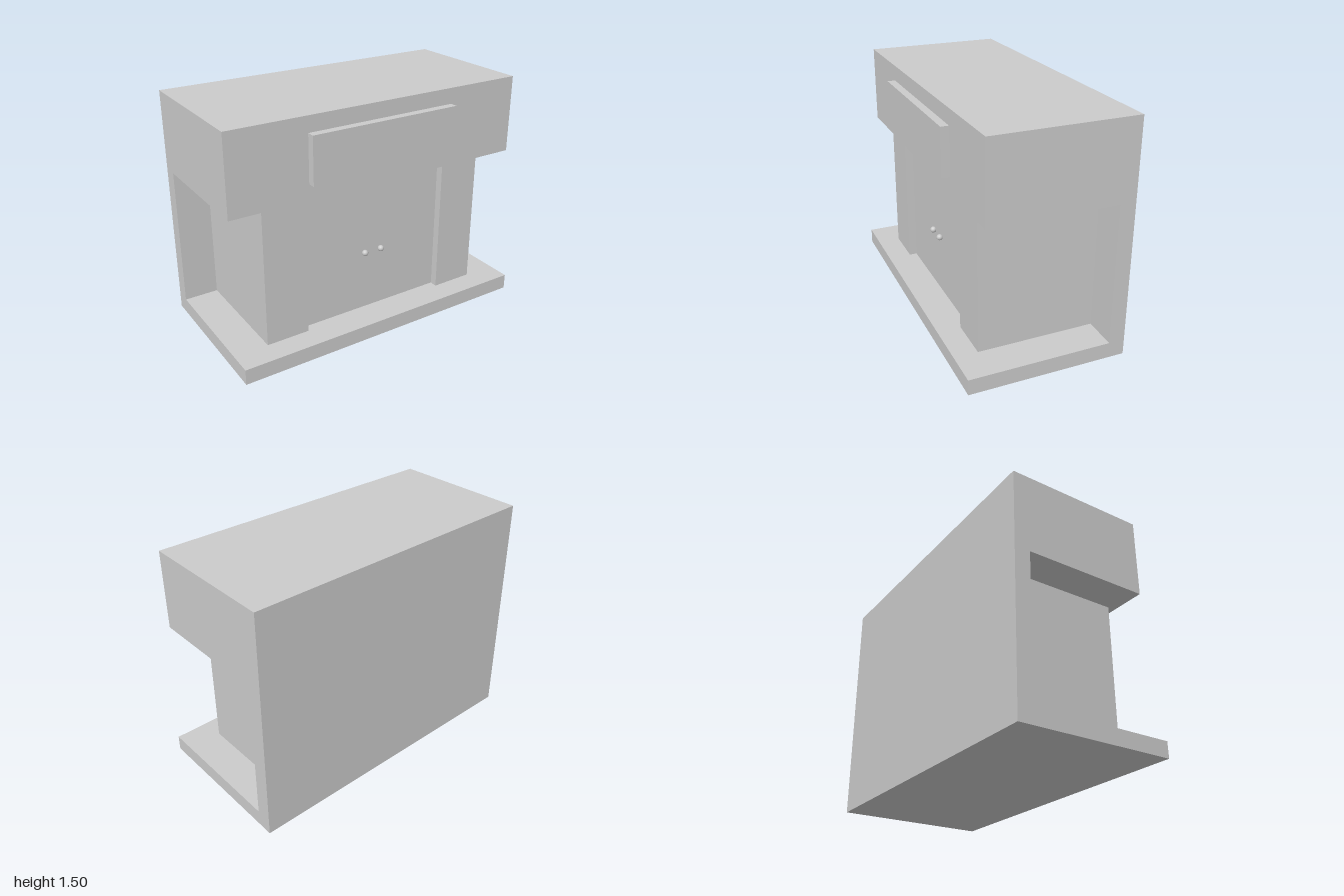
import * as THREE from 'three';

export function createModel() {
  const model = new THREE.Group();
  const material = new THREE.MeshStandardMaterial({ color: 0xcccccc });

  function add(name, geometry, x = 0, y = 0, z = 0) {
    const mesh = new THREE.Mesh(geometry, material);
    mesh.name = name;
    mesh.position.set(x, y, z);
    model.add(mesh);
    return mesh;
  }

  // Box given by its extents on each axis
  function addBox(name, [x0, x1], [y0, y1], [z0, z1]) {
    return add(name, new THREE.BoxGeometry(x1 - x0, y1 - y0, z1 - z0),
      (x0 + x1) / 2, (y0 + y1) / 2, (z0 + z1) / 2);
  }

  // C-shaped frame: base slab, back panel and overhanging hood in one profile (z, y)
  const profile = new THREE.Shape([
    [-0.5, 0], [0.5, 0], [0.5, 0.1], [-0.4, 0.1],
    [-0.4, 1], [0.4, 1], [0.4, 1.5], [-0.5, 1.5],
  ].map(([z, y]) => new THREE.Vector2(z, y)));
  const frame = new THREE.ExtrudeGeometry(profile, { depth: 2, bevelEnabled: false });
  frame.rotateY(-Math.PI / 2).translate(1, 0, 0);
  add('frame', frame);

  // Raised panel on the front of the hood
  addBox('frontPanel', [-0.5, 0.5], [1.1, 1.4], [0.4, 0.45]);

  // Recessed door front between the pillars
  addBox('doors', [-0.5, 0.5], [0.1, 1], [-0.4, 0.3]);

  // Mirrored side pillars and round door knobs
  const knob = new THREE.SphereGeometry(0.02, 24, 16);
  for (const [side, s] of [['left', 1], ['right', -1]]) {
    const xs = [0.5 * s, 0.78 * s].sort((a, b) => a - b);
    addBox(side + 'Pillar', xs, [0.1, 1], [-0.4, 0.35]);
    add(side + 'Knob', knob, 0.06 * s, 0.5, 0.315);
  }

  return model;
}
